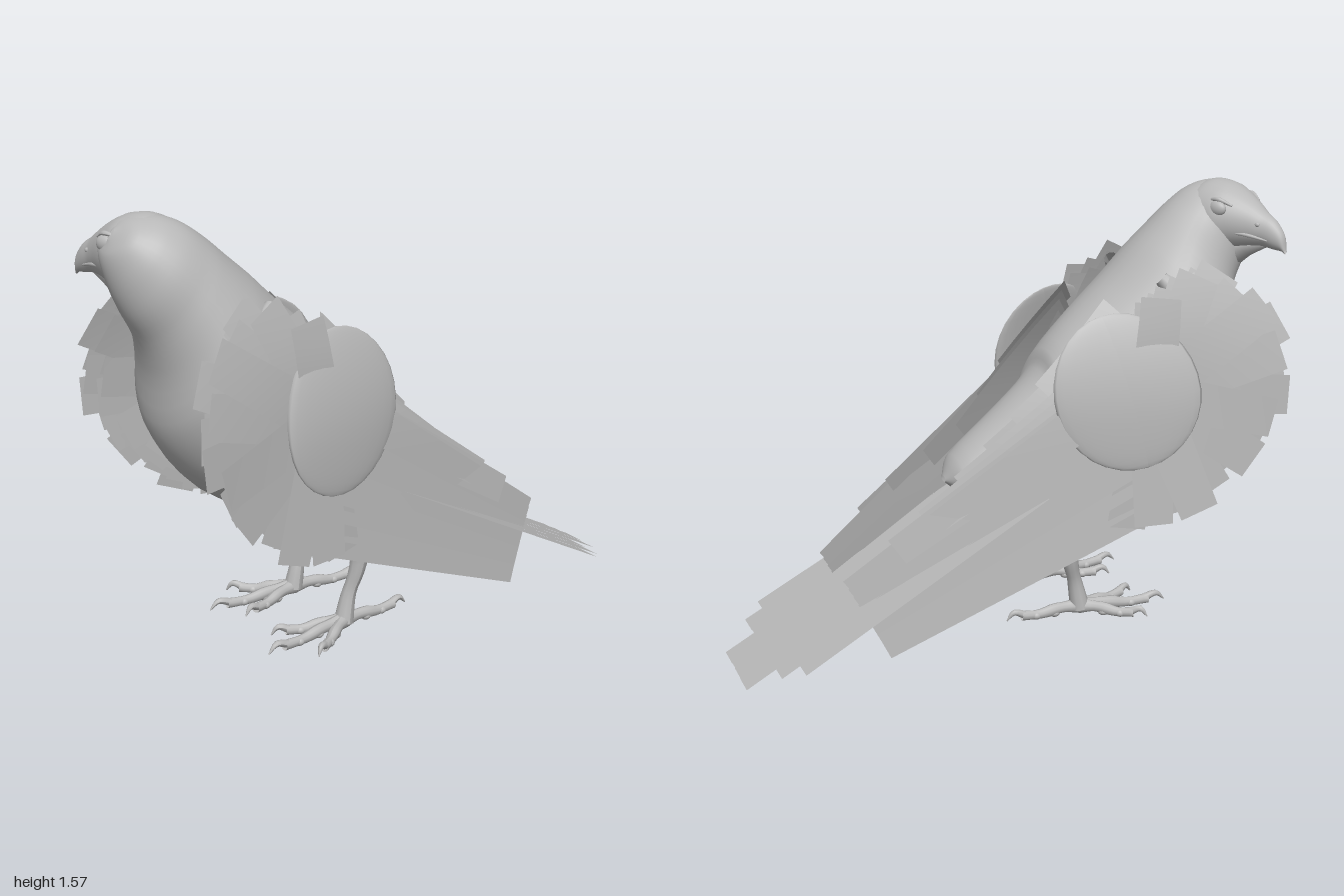
import * as THREE from 'three';

const V = (x, y, z) => new THREE.Vector3(x, y, z);

export function createModel() {
  const bird = new THREE.Group();
  bird.name = 'perchedBird';
  const grey = new THREE.MeshStandardMaterial({ color: 0xb8b8b8, side: THREE.DoubleSide });
  grey.name = 'plumageGrey';

  const add = (geo, name, parent = bird) => {
    const mesh = new THREE.Mesh(geo, grey);
    mesh.name = name;
    parent.add(mesh);
    return mesh;
  };

  // Smooth skin over elliptical rings: top line, bottom line, and (half width, centre x)
  function loft(tops, bottoms, widths, steps, sides = 28) {
    const curves = [tops, bottoms, widths].map((p) => new THREE.CatmullRomCurve3(p));
    const pos = [], idx = [];
    for (let i = 0; i <= steps; i++) {
      const [t, b, w] = curves.map((c) => c.getPoint(i / steps));
      const mid = t.clone().add(b).multiplyScalar(0.5);
      const up = t.clone().sub(b).multiplyScalar(0.5);
      for (let j = 0; j < sides; j++) {
        const a = (j / sides) * Math.PI * 2;
        const p = mid.clone().addScaledVector(up, Math.sin(a));
        pos.push(w.y + Math.max(w.x, 0.001) * Math.cos(a), p.y, p.z);
        if (i < steps) {
          const k = i * sides, n = (j + 1) % sides;
          idx.push(k + j, k + n, k + sides + j, k + n, k + sides + n, k + sides + j);
        }
      }
    }
    return surface(pos, idx);
  }

  function surface(pos, idx) {
    const geo = new THREE.BufferGeometry();
    geo.setAttribute('position', new THREE.Float32BufferAttribute(pos, 3));
    geo.setIndex(idx);
    geo.computeVertexNormals();
    return geo;
  }

  // Tube whose radius follows a list of values along its path
  function taper(points, radii, steps = 14, sides = 10) {
    const curve = new THREE.CatmullRomCurve3(points);
    const geo = new THREE.TubeGeometry(curve, steps, 1, sides);
    const p = geo.attributes.position, v = V(0, 0, 0);
    for (let i = 0; i <= steps; i++) {
      const c = curve.getPointAt(i / steps), f = (i / steps) * (radii.length - 1);
      const k = Math.min(Math.floor(f), radii.length - 2);
      const r = THREE.MathUtils.lerp(radii[k], radii[k + 1], f - k);
      for (let j = 0; j <= sides; j++) {
        const n = i * (sides + 1) + j;
        v.fromBufferAttribute(p, n).sub(c).multiplyScalar(r).add(c);
        p.setXYZ(n, v.x, v.y, v.z);
      }
    }
    geo.computeVertexNormals();
    return geo;
  }

  const ellipsoid = (x, y, z, rx, ry, rz) =>
    new THREE.SphereGeometry(1, 24, 16).scale(rx, ry, rz).translate(x, y, z);

  // Body, rump to crown: back z, back y, belly z, belly y, half width, centre x
  const body = [
    [-0.22, 0.59, -0.22, 0.57, 0.02, 0], [-0.18, 0.66, -0.17, 0.53, 0.1, 0],
    [0, 0.81, -0.05, 0.5, 0.15, 0], [0.14, 0.94, 0.07, 0.48, 0.185, 0],
    [0.17, 1.01, 0.12, 0.47, 0.205, 0],
    [0.33, 1.17, 0.42, 0.49, 0.28, 0], [0.42, 1.25, 0.7, 0.63, 0.31, 0],
    [0.52, 1.35, 0.85, 0.85, 0.295, 0], [0.6, 1.42, 0.87, 1.05, 0.24, 0.01],
    [0.68, 1.49, 0.9, 1.17, 0.185, 0.025], [0.75, 1.54, 0.95, 1.27, 0.155, 0.025],
    [0.82, 1.565, 0.98, 1.36, 0.13, 0.01], [0.9, 1.56, 0.99, 1.45, 0.09, -0.01],
    [0.95, 1.53, 0.97, 1.5, 0.01, -0.01],
  ];
  add(loft(body.map((s) => V(0, s[1], s[0])), body.map((s) => V(0, s[3], s[2])),
    body.map((s) => V(s[4], s[5], 0)), 52, 36), 'body');

  // Head turned to the right: forward, centre y, half height, half width
  const head = new THREE.Group();
  head.name = 'head';
  head.position.set(-0.02, 0, 0.85);
  head.rotation.y = Math.atan2(-0.93, 0.37);
  bird.add(head);
  const skull = [
    [-0.17, 1.38, 0.01, 0.01], [-0.13, 1.42, 0.09, 0.09], [-0.04, 1.43, 0.138, 0.135],
    [0.04, 1.435, 0.13, 0.13], [0.1, 1.435, 0.105, 0.1], [0.16, 1.425, 0.078, 0.065],
    [0.2, 1.413, 0.06, 0.045], [0.24, 1.398, 0.05, 0.032], [0.275, 1.375, 0.03, 0.018],
    [0.287, 1.345, 0.008, 0.006],
  ];
  add(loft(skull.map((s) => V(0, s[1] + s[2], s[0])), skull.map((s) => V(0, s[1] - s[2], s[0])),
    skull.map((s) => V(s[3], 0, 0)), 40), 'skullAndBeak', head);
  add(taper([V(0, 1.33, 0.03), V(0, 1.35, 0.12), V(0, 1.365, 0.21)], [0.09, 0.045, 0.012]), 'lowerBeak', head);
  for (const s of [-1, 1]) {
    add(ellipsoid(s * 0.1, 1.483, 0.06, 0.02, 0.028, 0.036), 'eye', head);
    add(taper([V(s * 0.095, 1.505, 0.01), V(s * 0.1, 1.515, 0.06), V(s * 0.08, 1.495, 0.11)],
      [0.004, 0.009, 0.004]), 'brow', head);
    add(ellipsoid(s * 0.044, 1.435, 0.192, 0.006, 0.008, 0.01), 'nostril', head);
    add(taper([V(s * 0.088, 1.4, 0.09), V(s * 0.064, 1.398, 0.15), V(s * 0.03, 1.38, 0.23)],
      [0.004, 0.007, 0.003]), 'mouthEdge', head);
  }

  // Folded wing surface: distance from the middle plane at (z, y)
  function wingX(z, y) {
    const base = z > 0.1 ? 0.285 + (z - 0.1) * 0.165 : 0.285 + (z - 0.1) * 0.173;
    return base - 0.45 * Math.max(0, y - 0.82) ** 2;
  }

  // Square-tipped feather lying on the wing; root and tip are [z, y, offset],
  // lean tips its upper edge in over the back
  function feather(side, root, tip, w0, w1, lean = 0) {
    const dz = tip[0] - root[0], dy = tip[1] - root[1], len = Math.hypot(dz, dy);
    const pos = [], idx = [], n = 4;
    for (let i = 0; i <= n; i++) {
      const t = i / n, w = (w0 + (w1 - w0) * t) / 2;
      const z = root[0] + dz * t, y = root[1] + dy * t;
      const off = root[2] + (tip[2] - root[2]) * t;
      for (const e of [-1, 1]) {
        const pz = z - (e * w * dy) / len, py = y + (e * w * dz) / len;
        pos.push(side * (wingX(pz, py) + off + lean * e * w), py, pz);
      }
      if (i < n) idx.push(2 * i, 2 * i + 1, 2 * i + 2, 2 * i + 1, 2 * i + 3, 2 * i + 2);
    }
    return surface(pos, idx);
  }

  // Rounded pad that follows the wing surface, turned slightly to the back
  function wingPad(side) {
    const geo = ellipsoid(0, 0, 0, 0.022, 0.27, 0.25).rotateX(-0.25).translate(0, 0.91, 0.335);
    const p = geo.attributes.position;
    for (let i = 0; i < p.count; i++) {
      const z = p.getZ(i), y = p.getY(i);
      p.setX(i, p.getX(i) + side * (wingX(z, y) - 0.005 + 0.08 * (z - 0.335) - 0.06 * (y - 0.91)));
    }
    geo.computeVertexNormals();
    return geo;
  }

  const rim = new THREE.CatmullRomCurve3([
    V(0, 0.42, 0.34), V(0, 0.42, 0.5), V(0, 0.55, 0.68), V(0, 0.7, 0.83), V(0, 0.88, 0.91),
    V(0, 1.08, 0.91), V(0, 1.23, 0.82), V(0, 1.31, 0.64), V(0, 1.23, 0.46),
  ]);

  for (const s of [-1, 1]) {
    const wing = new THREE.Group();
    wing.name = s > 0 ? 'leftWing' : 'rightWing';
    bird.add(wing);

    // Long flight feathers reaching back
    for (let i = 0; i < 8; i++) {
      const t = i / 7;
      add(feather(s, [0.45 - 0.1 * t, 0.52 + 0.43 * t, 0.012 * t - 0.02],
        [-0.515 - 0.1 * t, 0.07 + 0.21 * t, 0.01 - 0.025 * t], 0.14, 0.09, 0.12), 'flightFeather', wing);
    }
    // Shorter shoulder feathers leaning in over the back
    [[-0.46, 0.41, -0.01], [-0.35, 0.5, -0.02], [-0.21, 0.6, -0.06], [-0.09, 0.69, -0.1], [0, 0.79, -0.09], [0.09, 0.9, -0.08]]
      .forEach((tip, i) => add(feather(s, [0.37, 0.95 + i * 0.04, -0.03 - 0.004 * i], tip, 0.16, 0.1, 0.15 + 0.09 * i),
        'shoulderFeather', wing));

    // Two fanned layers along the front and lower rim
    for (let layer = 0; layer < 2; layer++) {
      for (let i = 0; i < 19; i++) {
        const p = rim.getPointAt(i / 18), jag = 1 - 0.04 * ((i * 7) % 3) - 0.08 * layer;
        const off = 0.01 * (((i * 3) % 5) - 2) - 0.045 * layer;
        add(feather(s, [0.42, 0.9, -0.02 - 0.02 * layer],
          [0.42 + (p.z - 0.42) * jag, 0.9 + (p.y - 0.9) * jag, off + 0.012], 0.16, 0.14), 'covertFeather', wing);
      }
    }
    // Smooth wing muscle and forearm
    add(wingPad(s), 'wingPad', wing);
    add(taper([V(s * 0.19, 1.27, 0.52), V(s * 0.24, 1.19, 0.59), V(s * 0.295, 1.06, 0.64), V(s * 0.32, 0.88, 0.62)],
      [0.025, 0.06, 0.045, 0.015]), 'forearm', wing);

    // Leg, thigh and trailing thigh feathers
    const leg = new THREE.Group();
    leg.name = s > 0 ? 'leftLeg' : 'rightLeg';
    bird.add(leg);
    add(ellipsoid(s * 0.165, 0.56, 0.26, 0.115, 0.15, 0.18), 'thigh', leg);
    add(taper([V(s * 0.18, 0.46, 0.17), V(s * 0.18, 0.28, 0.19), V(s * 0.165, 0.17, 0.22), V(s * 0.165, 0.075, 0.24)],
      [0.075, 0.034, 0.024, 0.036]), 'shank', leg);
    add(feather(s, [0.32, 0.5, -0.1], [0.15, 0.29, -0.12], 0.12, 0.07), 'thighFeather', leg);
    add(feather(s, [0.22, 0.48, -0.16], [0.09, 0.32, -0.2], 0.12, 0.07), 'thighFeather', leg);

    // Toes with curved claws: direction and reach
    for (const [dx, dz] of [[-0.08, 0.25], [0.035, 0.33], [0.145, 0.2], [-0.02, -0.28]]) {
      const at = (t, y) => V(s * (0.165 + dx * t), y, 0.24 + dz * t);
      add(taper([at(0, 0.08), at(0.3, 0.08), at(0.55, 0.068), at(0.8, 0.072)],
        [0.03, 0.019, 0.021, 0.016, 0.018]), 'toe', leg);
      add(taper([at(0.76, 0.075), at(0.9, 0.088), at(1, 0.06)], [0.015, 0.011, 0.002], 8, 8), 'claw', leg);
      for (const t of [0.35, 0.6]) add(ellipsoid(...at(t, 0.066).toArray(), 0.02, 0.016, 0.02), 'toePad', leg);
    }

    // Pointed tufts under the belly
    for (const [x, y, tilt] of [[0.05, 0.55, 0.35], [0.1, 0.5, 0.1], [0.03, 0.49, -0.1]]) {
      const shape = new THREE.Shape([[0, 0], [-0.06, -0.1], [0, -0.18], [0.06, -0.09]].map((p) => new THREE.Vector2(...p)));
      const tuft = add(new THREE.ShapeGeometry(shape), 'bellyTuft');
      tuft.position.set(s * x, y, 0.38);
      tuft.rotation.set(0.5, s * 0.3, s * tilt);
    }
  }

  // Stepped flat tail, sloping down to the ground
  const tail = new THREE.Group();
  tail.name = 'tail';
  bird.add(tail);
  for (let i = -4; i <= 4; i++) {
    const end = i >= -2 && i <= 1 ? -1 : Math.abs(i) < 4 ? -0.895 : -0.83;
    const lift = 0.004 * (4 - Math.abs(i)) - 0.016;
    const y = (z) => 0.575 + (z - 0.06) * 0.53 + lift;
    const a = i * 0.058, b = i * 0.066, w = 0.048;
    const pos = [a - w, y(0.06), 0.06, a + w, y(0.06), 0.06, b - w, y(end), end, b + w, y(end), end];
    add(surface(pos, [0, 1, 2, 1, 3, 2]), 'tailFeather', tail);
  }
  return bird;
}
